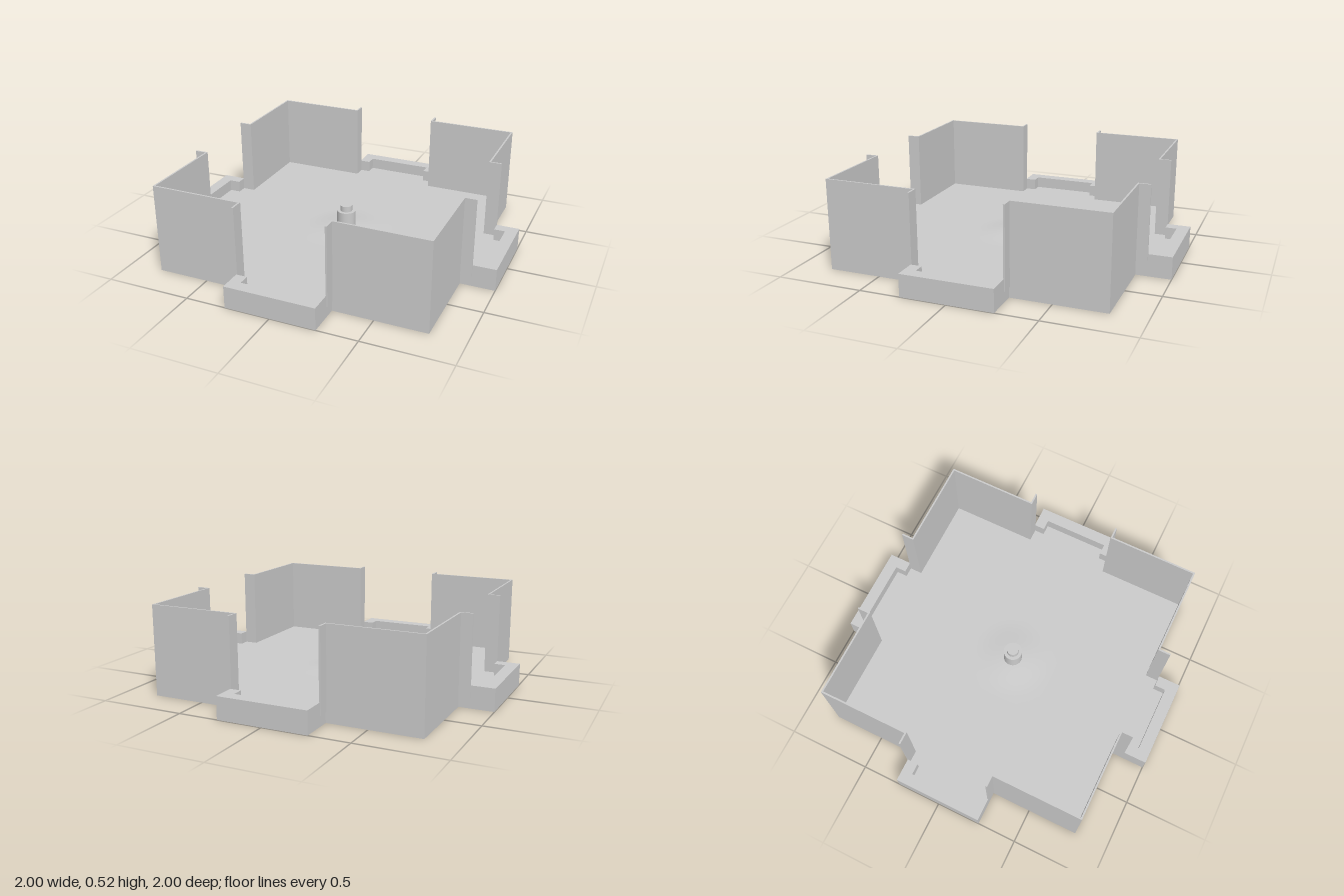
import * as THREE from 'three';

const material = new THREE.MeshStandardMaterial({ color: 0xcccccc });

// Floor-plan outline raised from y0 to y1
function raise(name, points, y0, y1) {
  const shape = new THREE.Shape(points.map(([x, z]) => new THREE.Vector2(x, -z)));
  const geometry = new THREE.ExtrudeGeometry(shape, { depth: y1 - y0, bevelEnabled: false });
  geometry.rotateX(-Math.PI / 2).translate(0, y0, 0);
  const mesh = new THREE.Mesh(geometry, material);
  mesh.name = name;
  return mesh;
}

// Repeats a corner outline around the four quarters
function quarters(points) {
  const out = [];
  for (let i = 0; i < 4; i++) {
    for (const [x, z] of points) {
      out.push([[x, z], [-z, x], [-x, -z], [z, -x]][i]);
    }
  }
  return out;
}

export function createModel() {
  const model = new THREE.Group();
  model.name = 'courtyard';
  const floorY = 0.06, door = 0.265, half = 0.8;

  // Cross-shaped floor slab
  model.add(raise('floor', quarters([
    [1, -door], [1, door], [half, door], [half, half], [door, half],
  ]), 0, floorY));

  // Four corner walls with door returns, and four low porch parapets
  const wall = [
    [0.26, 0.865], [0.26, 0.79], [0.79, 0.79], [0.79, 0.26], [0.865, 0.26],
    [0.865, 0.27], [half, 0.27], [half, half], [0.27, half], [0.27, 0.865],
  ];
  const parapet = [
    [-door, 0.865], [-0.2, 0.865], [-0.2, 0.93], [0.2, 0.93],
    [0.2, 0.865], [door, 0.865], [door, 1], [-door, 1],
  ];
  for (let i = 0; i < 4; i++) {
    const side = new THREE.Group();
    side.name = 'side' + (i + 1);
    side.add(raise('cornerWall', wall, floorY, 0.525));
    side.add(raise('porchParapet', parapet, floorY, 0.13));
    side.rotation.y = i * Math.PI / 2;
    model.add(side);
  }

  // Gentle rise in the middle of the floor
  const rise = new THREE.PlaneGeometry(0.53, 0.53, 16, 16).rotateX(-Math.PI / 2);
  const p = rise.attributes.position;
  for (let i = 0; i < p.count; i++) {
    const r = Math.min(1, Math.hypot(p.getX(i), p.getZ(i)) / 0.265);
    p.setY(i, floorY + 0.001 + 0.01 * (1 + Math.cos(Math.PI * r)));
  }
  rise.computeVertexNormals();
  const mound = new THREE.Mesh(rise, material);
  mound.name = 'floorRise';
  model.add(mound);

  // Stepped central post
  for (const [name, radius, y0, y1] of [
    ['postBase', 0.056, floorY, 0.18],
    ['postCap', 0.036, 0.18, 0.215],
  ]) {
    const post = new THREE.Mesh(new THREE.CylinderGeometry(radius, radius, y1 - y0, 32), material);
    post.name = name;
    post.position.y = (y0 + y1) / 2;
    model.add(post);
  }
  return model;
}
